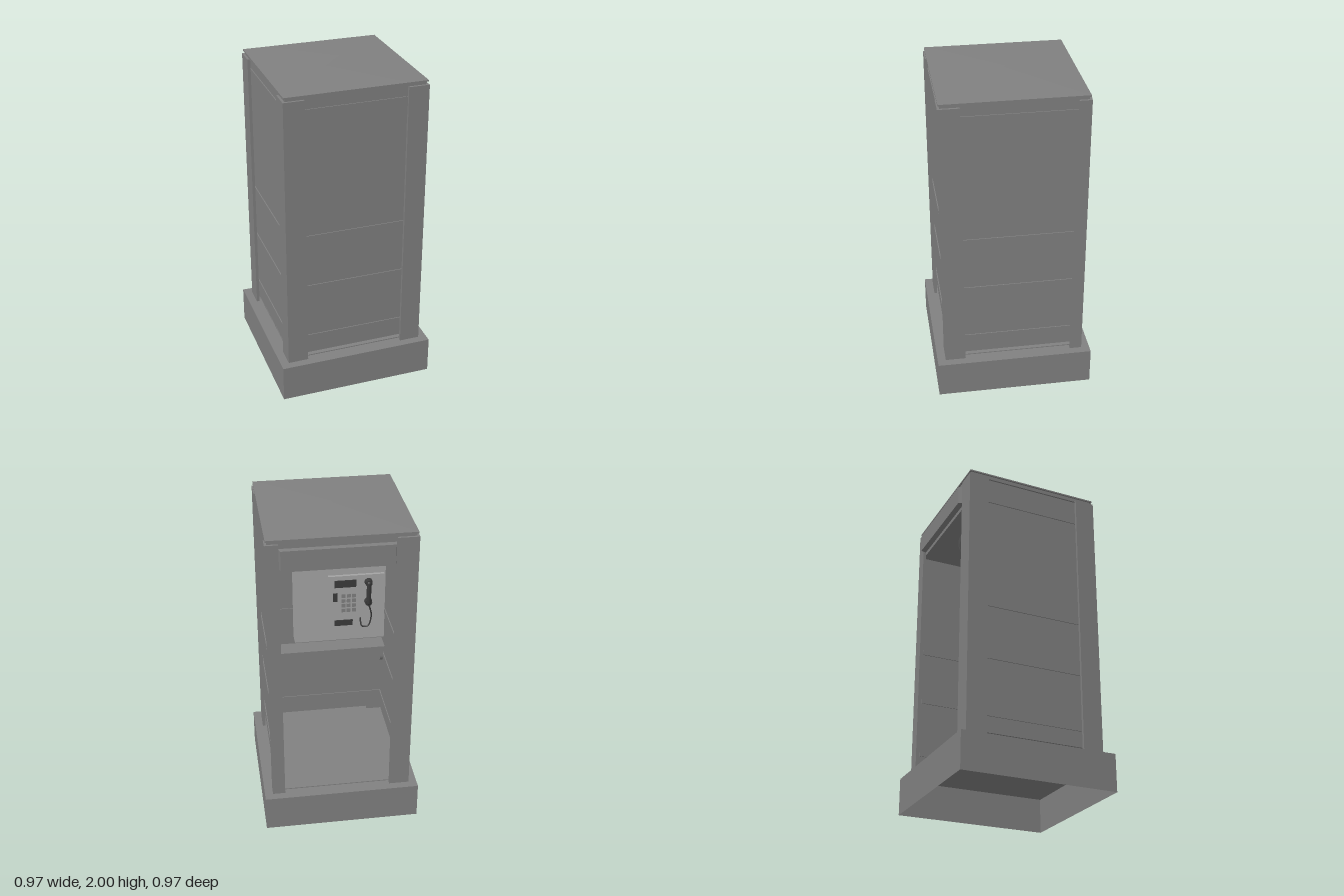
import * as THREE from 'three';

const material = new THREE.MeshStandardMaterial({ color: 0x808080, flatShading: true });
const openMaterial = new THREE.MeshStandardMaterial({ color: 0x808080, flatShading: true, side: THREE.DoubleSide });
const smoothMaterial = new THREE.MeshStandardMaterial({ color: 0x808080 });
const lightMaterial = new THREE.MeshStandardMaterial({ color: 0xa4a4a4, flatShading: true });
const darkMaterial = new THREE.MeshStandardMaterial({ color: 0x3a3a3a });

function add(parent, name, geometry, mat = material) {
  const mesh = new THREE.Mesh(geometry, mat);
  mesh.name = name;
  parent.add(mesh);
  return mesh;
}

// Box given by its lower and upper limits
function box(parent, name, x0, x1, y0, y1, z0, z1, mat) {
  const mesh = add(parent, name, new THREE.BoxGeometry(x1 - x0, y1 - y0, z1 - z0), mat);
  mesh.position.set((x0 + x1) / 2, (y0 + y1) / 2, (z0 + z1) / 2);
  return mesh;
}

function shapeOf(points) {
  return new THREE.Shape(points.map(([x, y]) => new THREE.Vector2(x, y)));
}

// Plan shape (x, z) raised from y0 to y1
function prism(parent, name, points, y0, y1) {
  const geometry = new THREE.ExtrudeGeometry(shapeOf(points.map(([x, z]) => [x, -z])), { depth: y1 - y0, bevelEnabled: false });
  geometry.rotateX(-Math.PI / 2).translate(0, y0, 0);
  return add(parent, name, geometry);
}

// Angle-section post; xIn and zIn are where its two legs end
function cornerPost(parent, sx, sz, xIn, zIn) {
  const o = 0.434, i = 0.416;
  const plan = [[o, o], [xIn, o], [xIn, i], [i, i], [i, zIn], [o, zIn]];
  prism(parent, 'cornerPost', plan.map(([x, z]) => [x * sx, z * sz]), 0.225, 1.95);
}

// Panelled wall facing +z, turned about the vertical axis
function wall(parent, name, angle, signFace) {
  const group = new THREE.Group();
  group.name = name;
  box(group, 'wallPanel', -0.412, 0.412, 0.265, 1.96, 0.398, 0.41);
  for (const y of [0.38, 0.735, 1.075]) box(group, 'horizontalRail', -0.395, 0.395, y - 0.016, y + 0.016, 0.392, 0.416);
  box(group, 'signPanel', -0.37, 0.37, 1.78, 1.89, 0.4, signFace);
  box(group, 'signHead', -0.37, 0.37, 1.89, 1.95, 0.4, signFace - 0.006);
  group.rotation.y = angle;
  parent.add(group);
}

function createBase(parent) {
  const base = new THREE.Group();
  base.name = 'base';
  // Hollow plinth, open underneath
  const side = 0.97 / Math.SQRT2;
  const skirt = new THREE.CylinderGeometry(side, side, 0.23, 4, 1, true).rotateY(Math.PI / 4);
  add(base, 'plinthSkirt', skirt, openMaterial).position.y = 0.115;
  box(base, 'plinthTop', -0.485, 0.485, 0.22, 0.23, -0.485, 0.485);
  box(base, 'floor', -0.4, 0.4, 0.215, 0.236, -0.4, 0.4);
  parent.add(base);
}

function createRoof(parent) {
  const roof = new THREE.Group();
  roof.name = 'roof';
  box(roof, 'roofNeck', -0.42, 0.42, 1.945, 1.972, -0.42, 0.42);
  box(roof, 'roofEdge', -0.429, 0.429, 1.968, 1.977, -0.429, 0.429);
  const r = 0.429 * Math.SQRT2;
  add(roof, 'roofCap', new THREE.ConeGeometry(r, 0.023, 4, 1, true).rotateY(Math.PI / 4), smoothMaterial).position.y = 1.9885;
  // Ceiling with a stepped round lamp
  box(roof, 'ceiling', -0.4, 0.4, 1.775, 1.785, -0.4, 0.4);
  const profile = [[0, 1.752], [0.195, 1.752], [0.21, 1.762], [0.295, 1.762], [0.305, 1.775]];
  add(roof, 'ceilingLamp', new THREE.LatheGeometry(profile.map(([x, y]) => new THREE.Vector2(x, y)), 40), openMaterial);
  parent.add(roof);
}

function createDoorway(parent) {
  const doorway = new THREE.Group();
  doorway.name = 'doorway';
  box(doorway, 'headerPanel', -0.41, 0.41, 1.775, 1.95, -0.418, -0.4);
  // Projecting sign with slanted ends
  prism(doorway, 'headerSign', [[-0.305, -0.41], [-0.305, -0.43], [-0.298, -0.454], [0.348, -0.454], [0.355, -0.43], [0.355, -0.41]], 1.8, 1.92);
  parent.add(doorway);
}

function createTelephone(parent) {
  const unit = new THREE.Group();
  unit.name = 'telephoneUnit';
  box(unit, 'backboard', -0.395, 0.2, 0.88, 1.775, 0.305, 0.4, lightMaterial);
  box(unit, 'shelf', -0.398, 0.398, 0.805, 0.82, 0.275, 0.4);
  // Round-bottomed brackets beneath the shelf
  const r = 0.058;
  const profile = shapeOf([[0, 0], [2 * r, 0], [2 * r, -0.06]]);
  profile.absarc(r, -0.06, r, 0, -Math.PI, true);
  const bracket = new THREE.ExtrudeGeometry(profile, { depth: 0.02, bevelEnabled: false, curveSegments: 12 }).rotateY(Math.PI / 2);
  for (const x of [-0.39, 0.37]) add(unit, 'shelfBracket', bracket).position.set(x, 0.805, 0.398);
  // Telephone body, keypad and coin slot
  box(unit, 'telephoneBody', -0.385, -0.02, 0.96, 1.36, 0.285, 0.31, lightMaterial);
  box(unit, 'display', -0.2, -0.06, 1.28, 1.33, 0.279, 0.29, darkMaterial);
  box(unit, 'coinSlot', -0.08, -0.05, 1.18, 1.24, 0.279, 0.29, darkMaterial);
  box(unit, 'coinTray', -0.18, -0.06, 1.0, 1.04, 0.279, 0.29, darkMaterial);
  for (let row = 0; row < 4; row++) for (let col = 0; col < 3; col++) {
    const x = -0.2 + col * 0.035, y = 1.1 + row * 0.035;
    box(unit, 'key', x, x + 0.025, y, y + 0.025, 0.279, 0.29);
  }
  // Handset hanging on its cradle
  add(unit, 'handsetGrip', new THREE.CapsuleGeometry(0.015, 0.14, 4, 12), darkMaterial).position.set(-0.28, 1.24, 0.258);
  for (const y of [1.17, 1.31]) {
    const cup = new THREE.CylinderGeometry(0.026, 0.022, 0.035, 16).rotateX(Math.PI / 2);
    add(unit, 'handsetCup', cup, darkMaterial).position.set(-0.28, y, 0.27);
  }
  const cord = new THREE.CatmullRomCurve3([[-0.28, 1.16, 0.26], [-0.3, 1.07, 0.27], [-0.28, 0.99, 0.275], [-0.24, 0.99, 0.275], [-0.23, 1.05, 0.288]].map(p => new THREE.Vector3(...p)));
  add(unit, 'handsetCord', new THREE.TubeGeometry(cord, 28, 0.005, 8), darkMaterial);
  parent.add(unit);
}

export function createModel() {
  const model = new THREE.Group();
  model.name = 'telephoneBooth';
  createBase(model);

  // The post beside the doorway hinge is narrower than the others
  cornerPost(model, 1, 1, 0.308, 0.308);
  cornerPost(model, -1, 1, 0.308, 0.308);
  cornerPost(model, -1, -1, 0.308, 0.308);
  cornerPost(model, 1, -1, 0.357, 0.36);

  wall(model, 'frontWall', 0, 0.421);
  wall(model, 'leftWall', Math.PI / 2, 0.416);
  wall(model, 'rightWall', -Math.PI / 2, 0.416);

  createDoorway(model);
  createRoof(model);
  createTelephone(model);
  return model;
}
